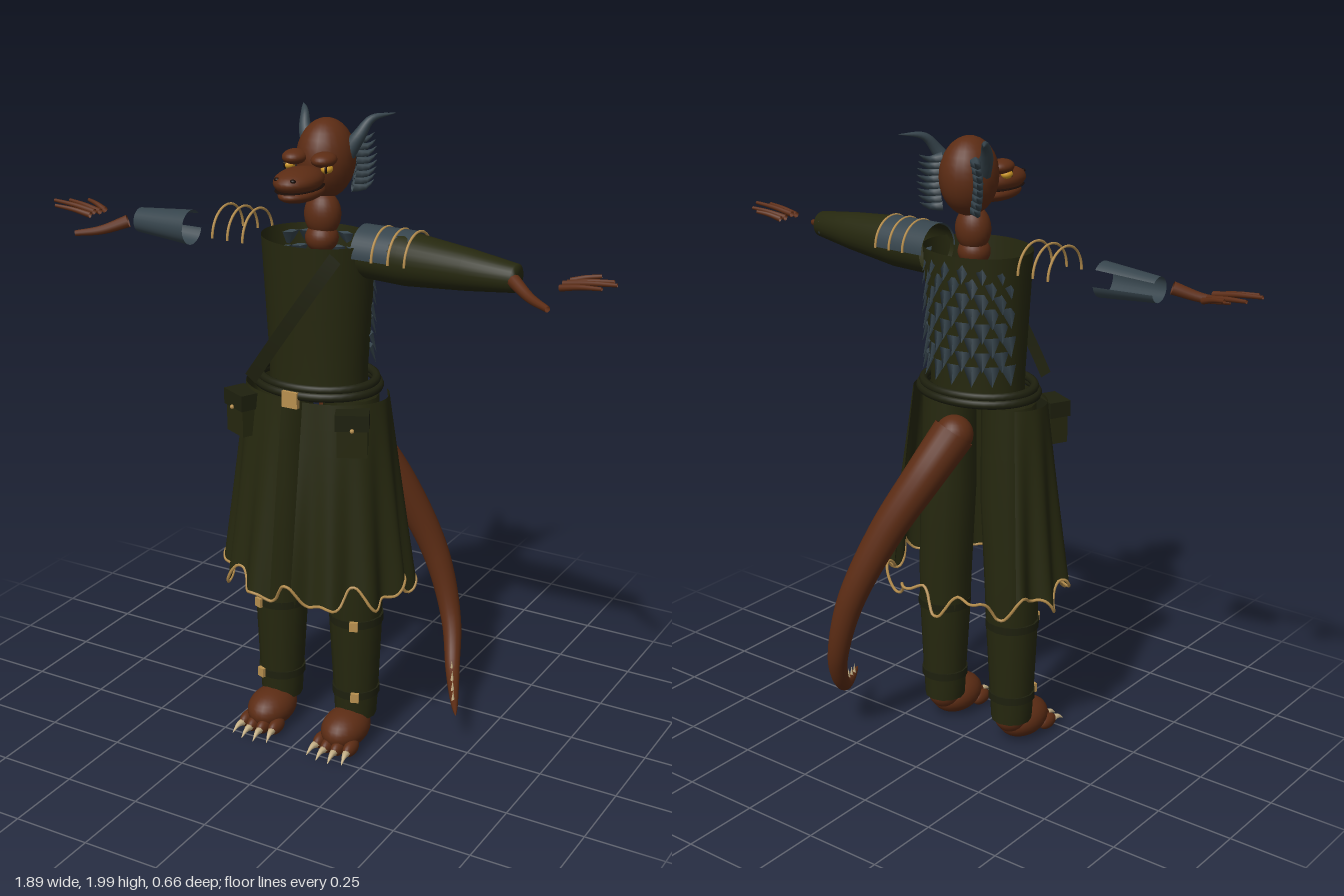
import * as THREE from 'three';

const mat = (name, color, side = THREE.DoubleSide) => {
  const m = new THREE.MeshStandardMaterial({ color, side });
  m.name = name;
  return m;
};

export function createModel() {
  const hide = mat('brown hide', 0x5c2c14);
  const cloth = mat('olive cloth', 0x26280f);
  const strapMat = mat('dark leather', 0x1e200e);
  const slate = mat('slate plate', 0x36444c);
  const gold = mat('brass', 0xb8904f);
  const cream = mat('claw cream', 0xc9b48a);
  const eyeMat = mat('amber eye', 0xd09a28);
  const dark = mat('dark slit', 0x1a0c06);

  const root = new THREE.Group();
  root.name = 'hornedReptile';
  const V = (p) => new THREE.Vector3(...p);
  const add = (name, geo, material, pos = [0, 0, 0], rot = [0, 0, 0]) => {
    const m = new THREE.Mesh(geo, material);
    m.name = name;
    m.position.set(...pos);
    m.rotation.set(...rot);
    root.add(m);
    return m;
  };
  const ball = (name, pos, r, material = hide, rot) =>
    add(name, new THREE.SphereGeometry(1, 24, 16), material, pos, rot).scale.set(...r);

  // Tube along a curve whose radius follows a function of t
  const taper = (name, pts, radius, material, seg = 24, sides = 12) => {
    const curve = new THREE.CatmullRomCurve3(pts.map(V));
    const geo = new THREE.TubeGeometry(curve, seg, 1, sides);
    const p = geo.attributes.position, v = new THREE.Vector3();
    for (let i = 0; i <= seg; i++) {
      const c = curve.getPointAt(i / seg), r = radius(i / seg);
      for (let j = 0; j <= sides; j++) {
        const k = i * (sides + 1) + j;
        v.fromBufferAttribute(p, k).sub(c).multiplyScalar(r).add(c);
        p.setXYZ(k, v.x, v.y, v.z);
      }
    }
    return add(name, geo, material);
  };

  // Sheet from a rule f(u, v) -> [x, y, z]
  const sheet = (name, f, nu, nv, material) => {
    const geo = new THREE.PlaneGeometry(1, 1, nu, nv);
    const p = geo.attributes.position;
    for (let i = 0; i < p.count; i++) p.setXYZ(i, ...f(p.getX(i) + 0.5, 0.5 - p.getY(i)));
    geo.computeVertexNormals();
    return add(name, geo, material);
  };

  // Torso: open tunic, slightly flared at the shoulders
  const tunic = new THREE.LatheGeometry(
    [[0.155, 1.17], [0.155, 1.25], [0.165, 1.42], [0.178, 1.64]].map((p) => new THREE.Vector2(...p)), 32);
  add('tunic', tunic, cloth, [0, 0, 0.07]).scale.z = 0.82;

  // Diagonal chest strap standing off the tunic
  const strapPath = new THREE.QuadraticBezierCurve3(V([0.15, 1.63, 0.235]), V([0.01, 1.42, 0.275]), V([-0.14, 1.22, 0.235]));
  sheet('chestStrap', (u, v) => {
    const c = strapPath.getPoint(v);
    return [c.x + (u - 0.5) * 0.035, c.y - (u - 0.5) * 0.025, c.z];
  }, 1, 16, strapMat);

  // Belt, buckle and pouches
  for (const [y, r] of [[1.213, 0.185], [1.193, 0.195]]) {
    const belt = add('belt', new THREE.TorusGeometry(r, 0.014, 8, 40), strapMat, [0, y, 0.075], [Math.PI / 2, 0, 0]);
    belt.scale.y = 0.8;
  }
  add('beltBuckle', new THREE.BoxGeometry(0.052, 0.05, 0.015), gold, [0, 1.18, 0.237]);
  for (const s of [1, -1]) {
    add('pouch', new THREE.BoxGeometry(0.09, 0.11, 0.06), cloth, [s * 0.19, 1.085, 0.2], [0, s * 0.45, 0]);
    add('pouchFlap', new THREE.BoxGeometry(0.1, 0.05, 0.07), strapMat, [s * 0.19, 1.14, 0.202], [0, s * 0.45, 0]);
    add('pouchStud', new THREE.SphereGeometry(0.007, 8, 6), gold, [s * 0.207, 1.118, 0.235]);
  }

  // Coat skirts: two pleated side panels with a ragged hem
  const hemY = (a) => 0.585 + 0.03 * Math.sin(a * 9 + 0.6) + 0.018 * Math.sin(a * 17);
  const coatAt = (a, t) => {
    const fold = 1 + t * 0.055 * Math.sin(a * 14);
    const rx = (0.235 + 0.065 * t) * fold, rz = (0.15 + 0.095 * t) * fold;
    return [Math.sin(a) * rx, 1.175 + (hemY(a) - 0.02 - 1.175) * t, 0.08 - 0.01 * t + Math.cos(a) * rz];
  };
  for (const s of [1, -1]) {
    sheet('coatPanel', (u, v) => coatAt(s * (0.15 + u * 2.02), v), 60, 8, cloth);
  }
  const hem = [];
  for (let i = 0; i < 96; i++) hem.push(V(coatAt((i / 96) * Math.PI * 2 - Math.PI, 1)));
  add('hemTrim', new THREE.TubeGeometry(new THREE.CatmullRomCurve3(hem, true), 240, 0.005, 5, true), gold);

  // Legs and feet
  for (const s of [1, -1]) {
    const rings = [[0.115, 1.17, 0.085], [0.12, 0.85, 0.09], [0.133, 0.55, 0.086], [0.135, 0.4, 0.082], [0.137, 0.2, 0.072], [0.137, 0.09, 0.066]];
    sheet('trouserLeg', (u, v) => {
      const k = Math.min(Math.floor(v * 5 + 1e-6), 4), f = v * 5 - k;
      const [cx, y, r] = rings[k].map((n, i) => n + (rings[k + 1][i] - n) * f);
      const a = u * Math.PI * 2;
      return [s * cx + Math.sin(a) * r, y, 0.075 + Math.cos(a) * r];
    }, 12, 10, cloth);
    for (const [y, r] of [[0.435, 0.086], [0.18, 0.076]]) {
      add('legStrap', new THREE.CylinderGeometry(r, r, 0.025, 16, 1, false), strapMat, [s * 0.137, y, 0.075]);
      add('legBuckle', new THREE.BoxGeometry(0.026, 0.03, 0.012), gold, [s * 0.172, y, 0.075 + r * 0.94], [0, s * 0.35, 0]);
    }
    ball('ankle', [s * 0.137, 0.1, 0.075], [0.055, 0.06, 0.06]);
    ball('foot', [s * 0.137, 0.065, 0.14], [0.072, 0.062, 0.1]);
    for (let i = 0; i < 4; i++) {
      const d = i - 1.5, x = s * 0.137 + d * 0.036, z = 0.225 - Math.abs(d) * 0.014;
      ball('toe', [x, 0.034, z], [0.02, 0.025, 0.04]);
      taper('toeClaw', [[x, 0.032, z + 0.025], [x + d * 0.003, 0.032, z + 0.05], [x + d * 0.006, 0.015, z + 0.078]],
        (t) => 0.013 * (1 - t) + 0.001, cream, 5, 8);
    }
  }

  // Tail with small spikes near the tip
  const tailPts = [[0, 1.08, -0.05], [0.05, 0.95, -0.14], [0.14, 0.76, -0.225], [0.235, 0.52, -0.285],
    [0.3, 0.3, -0.275], [0.345, 0.17, -0.2], [0.4, 0.13, -0.1], [0.45, 0.12, -0.01]];
  taper('tail', tailPts, (t) => 0.066 * Math.pow(1 - t, 0.65) + 0.002, hide, 56, 18);
  ball('tailRoot', [0, 1.075, -0.05], [0.06, 0.06, 0.06]);
  for (let i = 0; i < 4; i++) {
    add('tailSpike', new THREE.ConeGeometry(0.007, 0.045, 6), cream, [0.352 + i * 0.02, 0.185 - i * 0.013, -0.18 + i * 0.037]);
  }

  // Neck and head
  ball('neck', [0, 1.7, 0.045], [0.056, 0.07, 0.052]);
  ball('neckBase', [0, 1.63, 0.05], [0.05, 0.045, 0.05]);
  ball('skull', [0, 1.862, 0.025], [0.085, 0.118, 0.097]);
  ball('snout', [0, 1.828, 0.18], [0.064, 0.037, 0.098]);
  ball('jaw', [0, 1.79, 0.165], [0.055, 0.026, 0.098]);
  ball('mouthLine', [0, 1.805, 0.175], [0.06, 0.006, 0.1], dark);
  for (const s of [1, -1]) {
    ball('brow', [s * 0.048, 1.88, 0.12], [0.036, 0.022, 0.045]);
    ball('eye', [s * 0.062, 1.857, 0.128], [0.017, 0.014, 0.02], eyeMat);
    ball('pupil', [s * 0.068, 1.857, 0.143], [0.004, 0.011, 0.006], dark);
    ball('nostril', [s * 0.026, 1.842, 0.257], [0.009, 0.006, 0.008], dark);
    taper('horn', [[s * 0.06, 1.88, 0.01], [s * 0.09, 1.93, -0.01], [s * 0.112, 1.975, -0.045], [s * 0.155, 1.985, -0.11]],
      (t) => 0.027 * (1 - t) + 0.001, slate, 18, 10);
    // Swept cheek frill
    for (let i = 0; i < 8; i++) {
      const y = 1.915 - i * 0.02, bulge = Math.sin(((i + 1) / 9) * Math.PI);
      const base = [s * (0.055 + 0.015 * bulge), y, -0.025];
      taper('frillSpike', [base, [s * (0.085 + 0.012 * bulge), y - 0.004, -0.05], [s * (0.096 + 0.015 * bulge), y + 0.012, -0.082]],
        (t) => 0.017 * (1 - t) + 0.001, slate, 4, 6);
    }
  }

  // Left sleeve and shoulder plate
  const arm = (g) => g.rotateZ(-Math.PI / 2);
  const sleeve = new THREE.LatheGeometry(
    [[0.078, 0], [0.079, 0.15], [0.06, 0.35], [0.041, 0.5], [0, 0.5]].map((p) => new THREE.Vector2(...p)), 28);
  add('sleeve', arm(sleeve), cloth, [0.148, 1.61, 0.055], [0, -0.08, 0]);
  add('shoulderPlate', arm(new THREE.CylinderGeometry(0.084, 0.084, 0.18, 24, 1, true, Math.PI, Math.PI)),
    slate, [0.235, 1.607, 0.06]);

  // Shoulder bands, bracers and hands on both sides
  for (const s of [1, -1]) {
    for (const x of [0.217, 0.27, 0.323]) {
      add('shoulderBand', new THREE.TorusGeometry(0.086, 0.004, 6, 24, Math.PI).rotateY(Math.PI / 2), gold, [s * x, 1.605, 0.06]);
    }
    const r = s > 0 ? 0.034 : 0.038;
    const bracer = new THREE.CylinderGeometry(r, s > 0 ? 0.045 : 0.054, 0.19, 24, 1, true, Math.PI * 1.17, Math.PI * 1.7);
    bracer.rotateZ(-s * Math.PI / 2);
    if (s < 0) bracer.rotateX(0.3);
    add('bracer', bracer, slate, [s * 0.535, 1.609, 0.082]);
    taper('thumb', [[s * 0.65, 1.61, 0.12], [s * 0.72, 1.583, 0.165], [s * 0.79, 1.573, 0.207]],
      (t) => 0.02 * (1 - 0.55 * t), hide, 10, 10);
    [[0.05, 0.025, 0.87], [0.075, 0.058, 0.92], [0.105, 0.103, 0.945], [0.126, 0.138, 0.915]].forEach(([z0, z1, x1], i) => {
      const y = 1.612 + (i === 2 ? 0.006 : 0);
      taper('finger', [[s * 0.79, y, z0], [s * (0.79 + x1) / 2, y + 0.012, (z0 + z1) / 2], [s * x1, y + 0.018, z1]],
        (t) => 0.01 * (1 - 0.45 * t), hide, 8, 8);
    });
  }

  // Overlapping diamond scales down the back
  const scaleGeo = new THREE.ConeGeometry(0.029, 0.062, 4).rotateX(Math.PI).scale(1, 1, 0.3);
  for (let row = 0; row < 8; row++) {
    for (let c = 0; c < 7; c++) {
      const a = Math.PI + (c - 3 + (row % 2 ? 0.25 : -0.25)) * 0.37;
      const sc = add('backScale', scaleGeo, slate,
        [Math.sin(a) * 0.17, 1.59 - row * 0.045, 0.07 + Math.cos(a) * 0.145]);
      sc.rotation.set(-0.3, a, 0, 'YXZ');
    }
  }
  return root;
}
